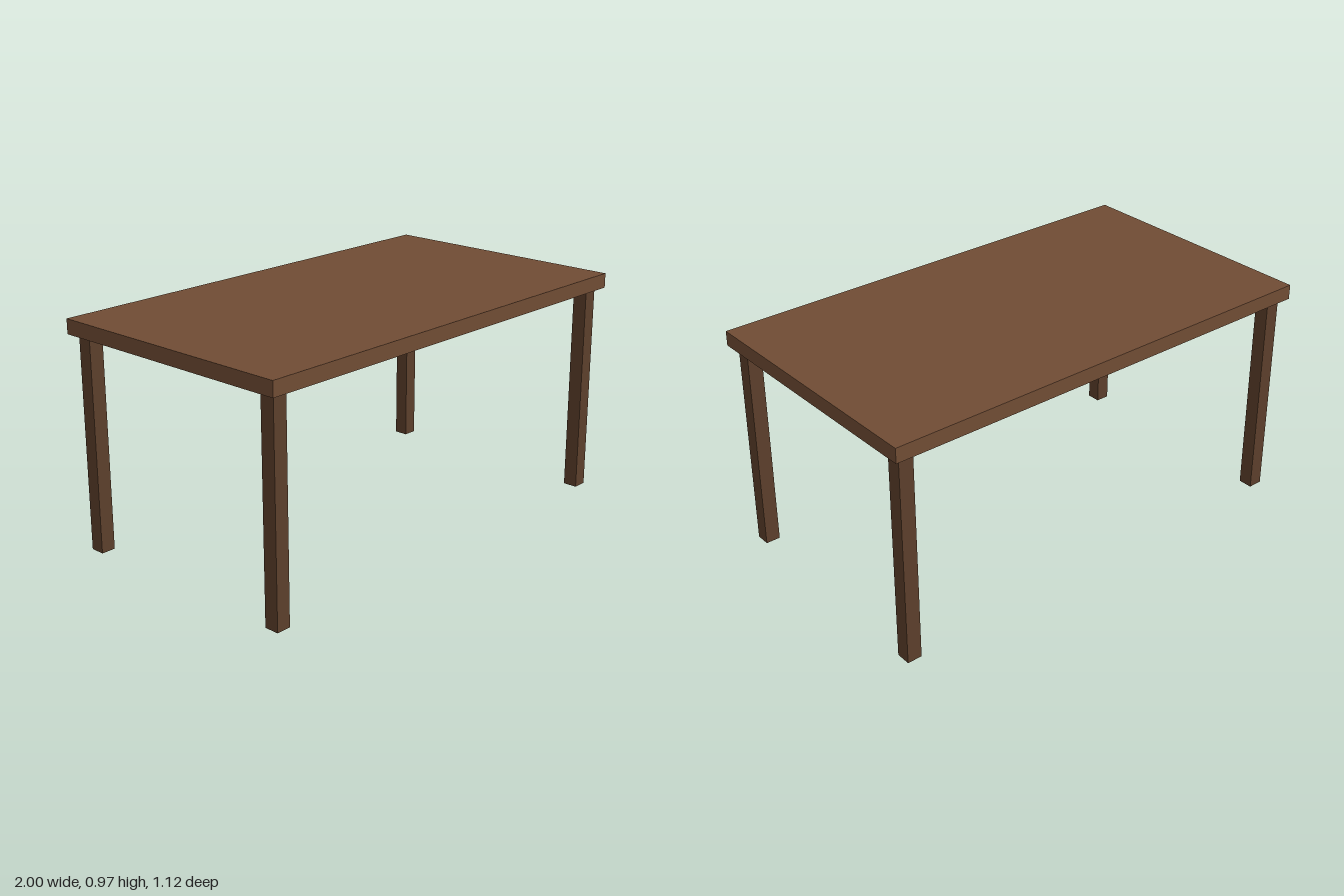
import * as THREE from 'three';

const LEG_HEIGHT = 0.90625;
const THICKNESS = 0.0625;

export function createModel() {
  const table = new THREE.Group();
  table.name = 'table';

  const topWood = new THREE.MeshStandardMaterial({ color: 0x704c34 });
  const legWood = new THREE.MeshStandardMaterial({ color: 0x5c3f2b });

  // Flat rectangular slab
  const top = new THREE.Mesh(new THREE.BoxGeometry(2, THICKNESS, 1.125), topWood);
  top.name = 'tableTop';
  top.position.y = LEG_HEIGHT + THICKNESS / 2;
  table.add(top);

  // Four square legs, set in slightly from the corners
  const legGeometry = new THREE.BoxGeometry(THICKNESS, LEG_HEIGHT, THICKNESS);
  for (const [zSide, zName] of [[1, 'front'], [-1, 'back']]) {
    for (const [xSide, xName] of [[1, 'Left'], [-1, 'Right']]) {
      const leg = new THREE.Mesh(legGeometry, legWood);
      leg.name = `${zName}${xName}Leg`;
      leg.position.set(xSide * 0.9375, LEG_HEIGHT / 2, zSide * 0.5);
      table.add(leg);
    }
  }

  return table;
}
